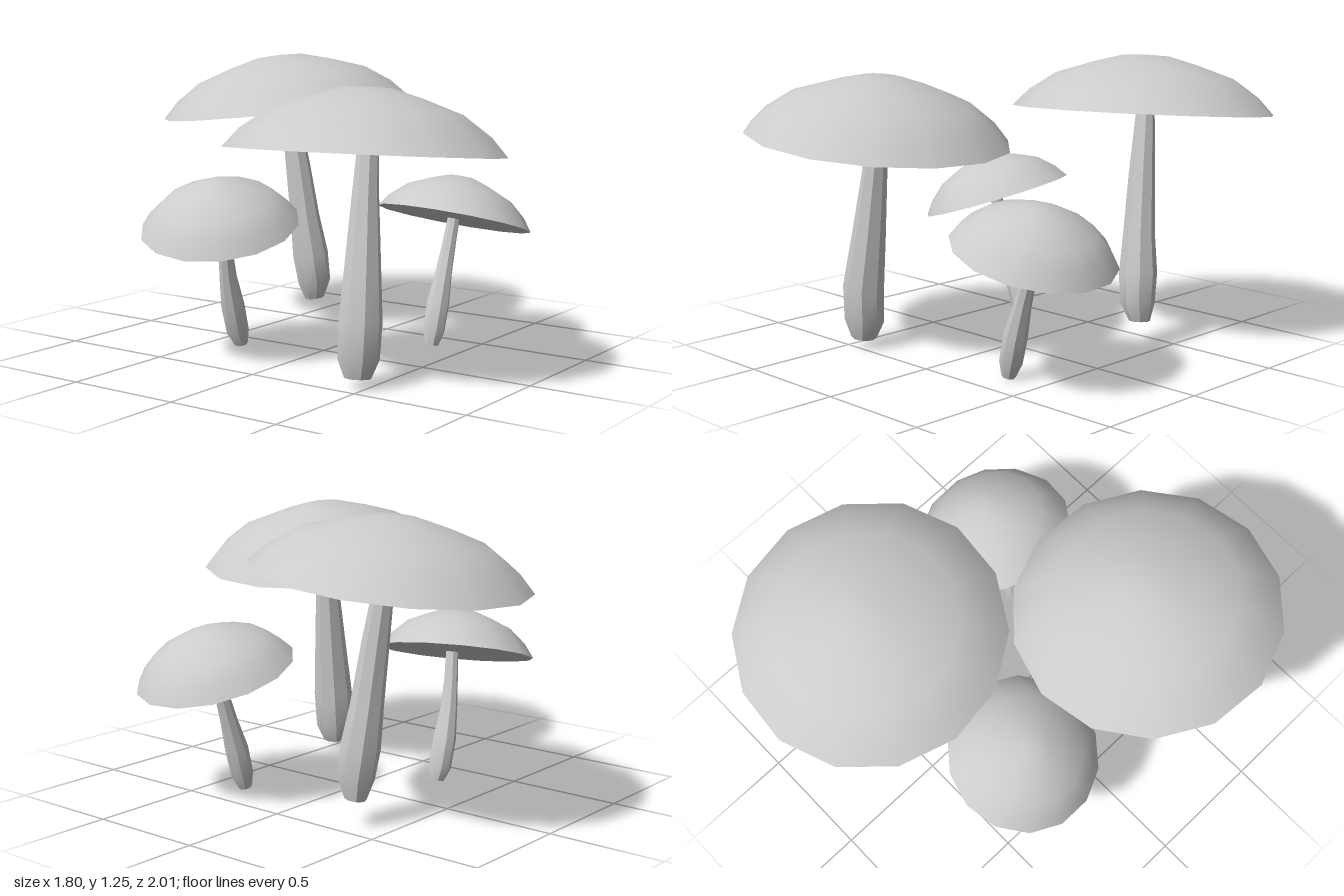
import * as THREE from 'three';
import { toCreasedNormals } from 'three/addons/utils/BufferGeometryUtils.js';

const UP = new THREE.Vector3(0, 1, 0);
const material = new THREE.MeshStandardMaterial({ color: 0xcccccc });

// Cap outline from the underside centre, round the rim, up to the crown (radius 1, height 1)
const CAP_PROFILE = [[0, 0], [1, 0], [0.88, 0.3], [0.68, 0.62], [0.4, 0.84], [0.18, 0.98], [0, 1]];

// slope = rise of the rim plane along x and along z
function makeCap({ centre, radius, height, slope, turn }) {
  const points = CAP_PROFILE.map(([r, y]) => new THREE.Vector2(r * radius, y * height));
  const geometry = new THREE.LatheGeometry(points, 14);
  geometry.rotateY(turn);
  const cap = new THREE.Mesh(toCreasedNormals(geometry, 0.42), material);
  const axis = new THREE.Vector3(-slope[0], 1, -slope[1]).normalize();
  cap.quaternion.setFromUnitVectors(UP, axis);
  cap.position.set(...centre);
  cap.name = 'cap';
  return cap;
}

// Stem: an eight-sided cylinder whose rings follow [x, y, z, radius] stations from the foot up
function makeStem(stations) {
  const rows = stations.length - 1;
  const geometry = new THREE.CylinderGeometry(1, 1, 1, 8, rows);
  const centres = stations.map(([x, y, z]) => new THREE.Vector3(x, y, z));
  const axis = centres[rows].clone().sub(centres[0]).normalize();
  const tilt = new THREE.Quaternion().setFromUnitVectors(UP, axis);
  const position = geometry.attributes.position;
  const v = new THREE.Vector3();
  for (let i = 0; i < position.count; i++) {
    v.fromBufferAttribute(position, i);
    const row = Math.round((v.y + 0.5) * rows);
    v.setY(0).multiplyScalar(stations[row][3]).applyQuaternion(tilt).add(centres[row]);
    position.setXYZ(i, v.x, v.y, v.z);
  }
  const stem = new THREE.Mesh(toCreasedNormals(geometry, 0.6), material);
  stem.name = 'stem';
  return stem;
}

const MUSHROOMS = [
  {
    name: 'largeFrontMushroom',
    cap: { centre: [-0.345, 0.925, 0.44], radius: 0.562, height: 0.255, slope: [-0.1, 0.02], turn: -0.08 },
    stem: [[-0.43, 0.045, 0.47, 0.055], [-0.425, 0.12, 0.47, 0.085], [-0.42, 0.27, 0.475, 0.088],
      [-0.39, 0.5, 0.465, 0.072], [-0.36, 0.75, 0.455, 0.055], [-0.335, 0.95, 0.45, 0.043]],
  },
  {
    name: 'largeBackMushroom',
    cap: { centre: [0.34, 1.015, -0.46], radius: 0.56, height: 0.237, slope: [0.04, 0.1], turn: 0.13 },
    stem: [[0.425, 0.12, -0.355, 0.045], [0.415, 0.2, -0.35, 0.075], [0.405, 0.33, -0.365, 0.082],
      [0.39, 0.5, -0.385, 0.068], [0.375, 0.75, -0.415, 0.056], [0.36, 1.01, -0.45, 0.04]],
  },
  {
    name: 'smallFrontMushroom',
    cap: { centre: [0.48, 0.55, 0.36], radius: 0.34, height: 0.19, slope: [-0.29, -0.03], turn: 0.05 },
    stem: [[0.325, 0.01, 0.345, 0.03], [0.34, 0.07, 0.347, 0.048], [0.37, 0.19, 0.35, 0.05],
      [0.41, 0.32, 0.353, 0.037], [0.455, 0.46, 0.355, 0.03], [0.48, 0.56, 0.36, 0.027]],
  },
  {
    name: 'smallBackMushroom',
    cap: { centre: [-0.363, 0.575, -0.275], radius: 0.335, height: 0.19, slope: [0.3, -0.12], turn: 0 },
    stem: [[-0.21, 0.035, -0.29, 0.03], [-0.225, 0.09, -0.295, 0.048], [-0.26, 0.21, -0.293, 0.05],
      [-0.3, 0.34, -0.285, 0.037], [-0.33, 0.46, -0.273, 0.03], [-0.355, 0.585, -0.26, 0.027]],
  },
];

export function createModel() {
  const model = new THREE.Group();
  model.name = 'mushroomCluster';
  for (const { name, cap, stem } of MUSHROOMS) {
    const mushroom = new THREE.Group();
    mushroom.name = name;
    mushroom.add(makeCap(cap), makeStem(stem));
    model.add(mushroom);
  }
  return model;
}
